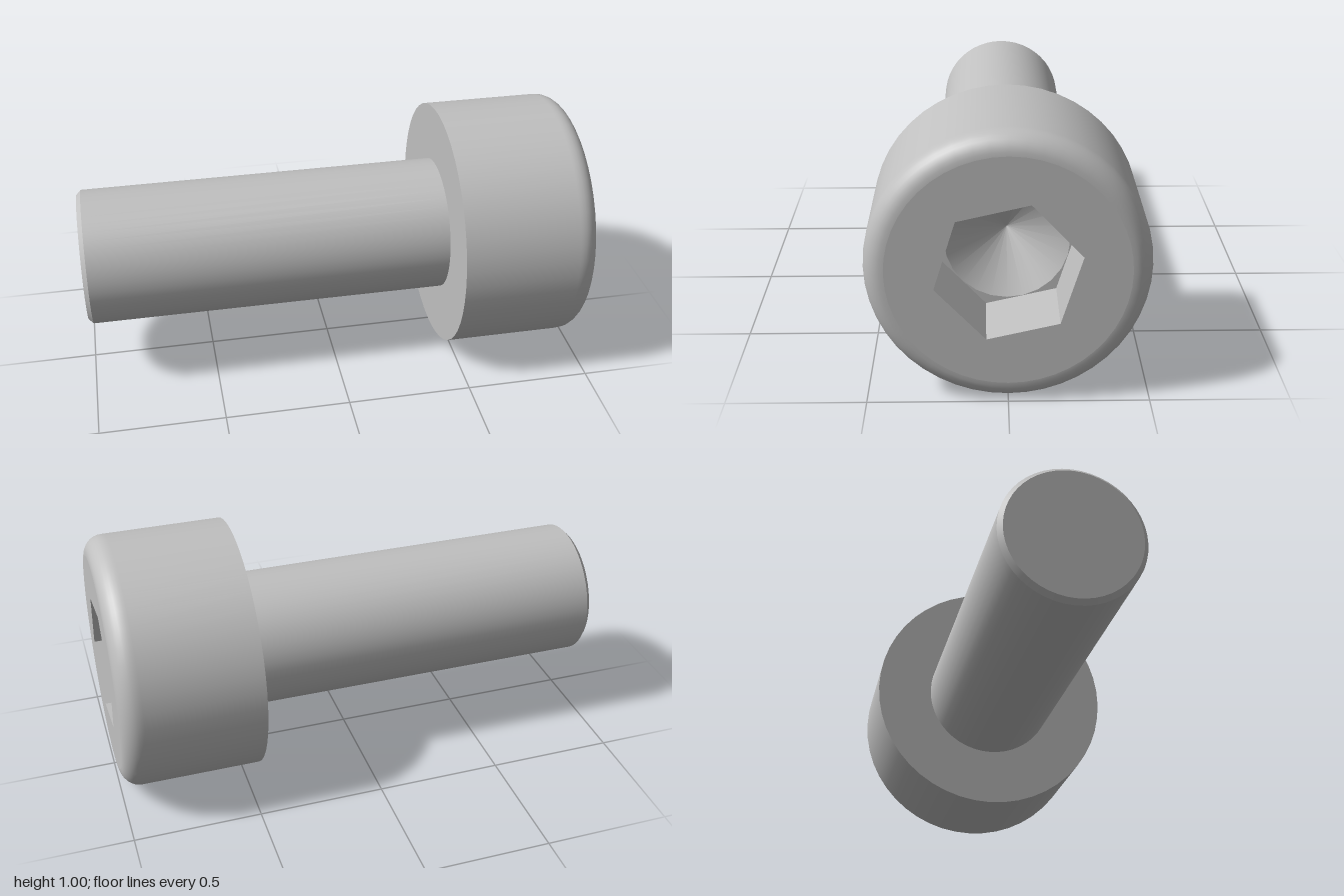
import * as THREE from 'three';

const AXIS_Y = 0.5;      // height of the bolt axis
const HEAD_R = 0.5, HEAD_X = 0.455, FILLET = 0.075;
const SHANK_R = 0.27, CHAMFER = 0.018;
const HEX_R = 0.263, HEX_IN = HEX_R * Math.cos(Math.PI / 6);
const HEX_TURN = THREE.MathUtils.degToRad(13);
const FLOOR_X = 0.73, TIP_X = 0.6;

export function createModel() {
  const steel = new THREE.MeshStandardMaterial({ color: 0xc0c0c0 });
  steel.name = 'steel grey';
  const model = new THREE.Group();
  model.name = 'socketHeadBolt';

  const add = (name, geometry) => {
    const mesh = new THREE.Mesh(geometry, steel);
    mesh.name = name;
    mesh.position.y = AXIS_Y;
    model.add(mesh);
  };

  // Surface of revolution around x; profile points are [x, radius].
  // Increasing x faces outward, decreasing x faces inward.
  const turned = (profile, sides = 48, start = 0) =>
    new THREE.LatheGeometry(profile.map(([x, r]) => new THREE.Vector2(r, x)), sides, start)
      .rotateZ(-Math.PI / 2);

  const circle = (r, sides) => Array.from({ length: sides }, (_, i) => {
    const a = (i / sides) * Math.PI * 2;
    return new THREE.Vector2(r * Math.cos(a), r * Math.sin(a));
  });
  const hexagon = circle(HEX_R, 6).map(p => p.rotateAround(new THREE.Vector2(), HEX_TURN));

  // Flat face across the axis; dir 1 faces +x, -1 faces -x.
  const flat = (outline, hole, x, dir) => {
    const shape = new THREE.Shape(outline);
    if (hole) shape.holes.push(new THREE.Path(hole));
    return new THREE.ShapeGeometry(shape).rotateY(dir * Math.PI / 2).translate(x, 0, 0);
  };

  // Head: straight side running into a rounded front edge
  const headProfile = [[HEAD_X, HEAD_R], [1 - FILLET - 0.01, HEAD_R]];
  for (let i = 0; i <= 8; i++) {
    const a = (i / 8) * Math.PI / 2;
    headProfile.push([1 - FILLET + FILLET * Math.sin(a), HEAD_R - FILLET + FILLET * Math.cos(a)]);
  }
  add('headSide', turned(headProfile));
  add('headFace', flat(circle(HEAD_R - FILLET, 48), hexagon, 1, 1));
  add('headUnderside', flat(circle(HEAD_R, 48), circle(SHANK_R, 48), HEAD_X, -1));

  // Hex socket: six flat walls, floor and drilled cone
  const walls = turned([[1, HEX_R], [FLOOR_X, HEX_R]], 6, HEX_TURN).toNonIndexed();
  walls.computeVertexNormals();
  add('socketWalls', walls);
  add('socketFloor', flat(hexagon, circle(HEX_IN - 0.001, 24), FLOOR_X, 1));
  add('socketCone', turned([[FLOOR_X, HEX_IN - 0.001], [TIP_X, 0]], 24));

  // Shank with a small chamfer at its end
  const endX = -1 + CHAMFER;
  add('shank', turned([[endX, SHANK_R], [HEAD_X, SHANK_R]]));
  add('shankChamfer', turned([[-1, SHANK_R - CHAMFER], [endX, SHANK_R]]));
  add('shankEnd', flat(circle(SHANK_R - CHAMFER, 48), null, -1, -1));

  return model;
}
